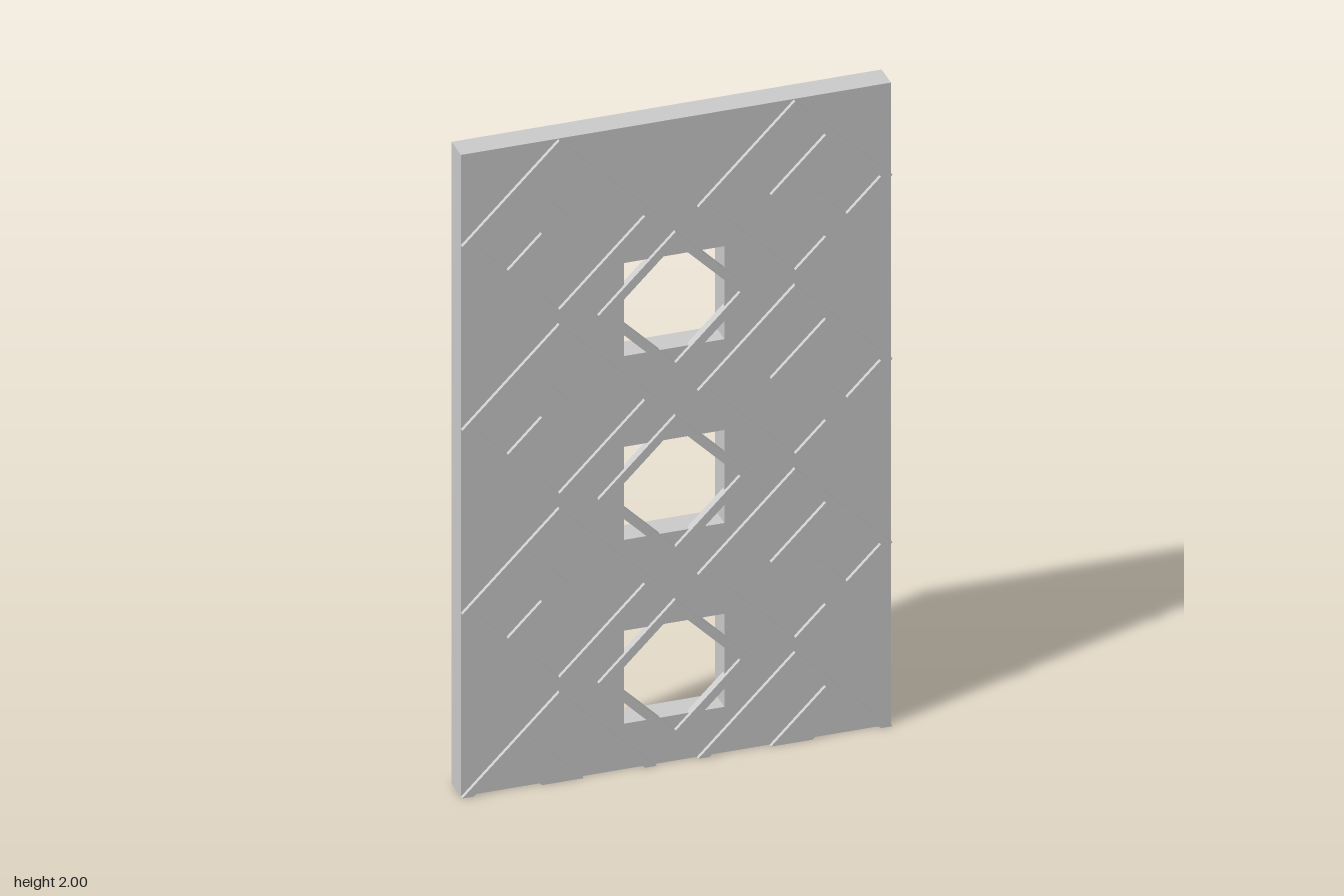
import * as THREE from 'three';

const W = 0.62, H = 2, FRONT = 0.045, SHEET = 0.033, BACK = -0.045, BAR = 0.025;
const PITCH = 0.573, HOLE = 0.145, HOLE_X = -0.005;

const material = new THREE.MeshStandardMaterial({ color: 0xcccccc, side: THREE.DoubleSide, flatShading: true });

function add(parent, geometry, name) {
  const mesh = new THREE.Mesh(geometry, material);
  mesh.name = name;
  parent.add(mesh);
  return mesh;
}

const outline = pts => new THREE.Shape(pts.map(p => new THREE.Vector2(...p)));
const diamond = r => [[r, 0], [0, r], [-r, 0], [0, -r]];
const square = (x, y, r) => [[x - r, y - r], [x + r, y - r], [x + r, y + r], [x - r, y + r]];

// Raised bar shape, running through the sheet
function bar(parent, shape, x, y, name) {
  const geo = new THREE.ExtrudeGeometry(shape, { depth: BAR, bevelEnabled: false });
  add(parent, geo, name).position.set(x, y, FRONT - BAR);
}

function diamondRing(outer, inner) {
  const shape = outline(diamond(outer));
  shape.holes.push(outline(diamond(inner)));
  return shape;
}

// Flat wall between two corners, running from the sheet to the back
function wall(parent, [x1, y1], [x2, y2], name) {
  const geo = new THREE.PlaneGeometry(Math.hypot(x2 - x1, y2 - y1), SHEET - BACK);
  geo.rotateX(Math.PI / 2).rotateZ(Math.atan2(y2 - y1, x2 - x1));
  add(parent, geo, name).position.set((x1 + x2) / 2, (y1 + y2) / 2, (SHEET + BACK) / 2);
}

export function createModel() {
  const model = new THREE.Group();
  model.name = 'latticePanel';
  const holeYs = [0.5, 1.5, 2.5].map(n => n * PITCH);

  // Front sheet with three square windows
  const sheet = outline([[-W, 0], [W, 0], [W, H], [-W, H]]);
  holeYs.forEach(y => sheet.holes.push(outline(square(HOLE_X, y, HOLE))));
  add(model, new THREE.ShapeGeometry(sheet), 'frontSheet').position.z = SHEET;

  // Rim, open at the bottom and the back
  wall(model, [-W, 0], [-W, H], 'rightRim');
  wall(model, [W, 0], [W, H], 'leftRim');
  wall(model, [-W, H], [W, H], 'topRim');

  // Window linings and the diamond frames around them
  for (const y of holeYs) {
    const c = square(HOLE_X, y, HOLE);
    c.forEach((p, i) => wall(model, p, c[(i + 1) % 4], 'windowLining'));
    bar(model, diamondRing(0.222, 0.187), HOLE_X, y, 'windowDiamond');
  }

  // Columns of large diamonds with inner chevrons; the lowest row is cut in half
  const R = 0.28, r = 0.247;
  for (const s of [-1, 1]) {
    for (let row = 0; row < 4; row++) {
      const x = s * 0.34, y = row * PITCH;
      const ring = row > 0 ? diamondRing(R, r)
        : outline([[R, 0], [0, R], [-R, 0], [-r, 0], [0, r], [r, 0]]);
      bar(model, ring, x, y, 'largeDiamond');
      const limbs = [[-0.07 * s, 0], [0.1 * s, 0.17], [0.16 * s, 0.11], [0.05 * s, 0]];
      if (row > 0) limbs.push([0.16 * s, -0.11], [0.1 * s, -0.17]);
      bar(model, outline(limbs), x, y, 'innerChevron');
    }
  }
  return model;
}
